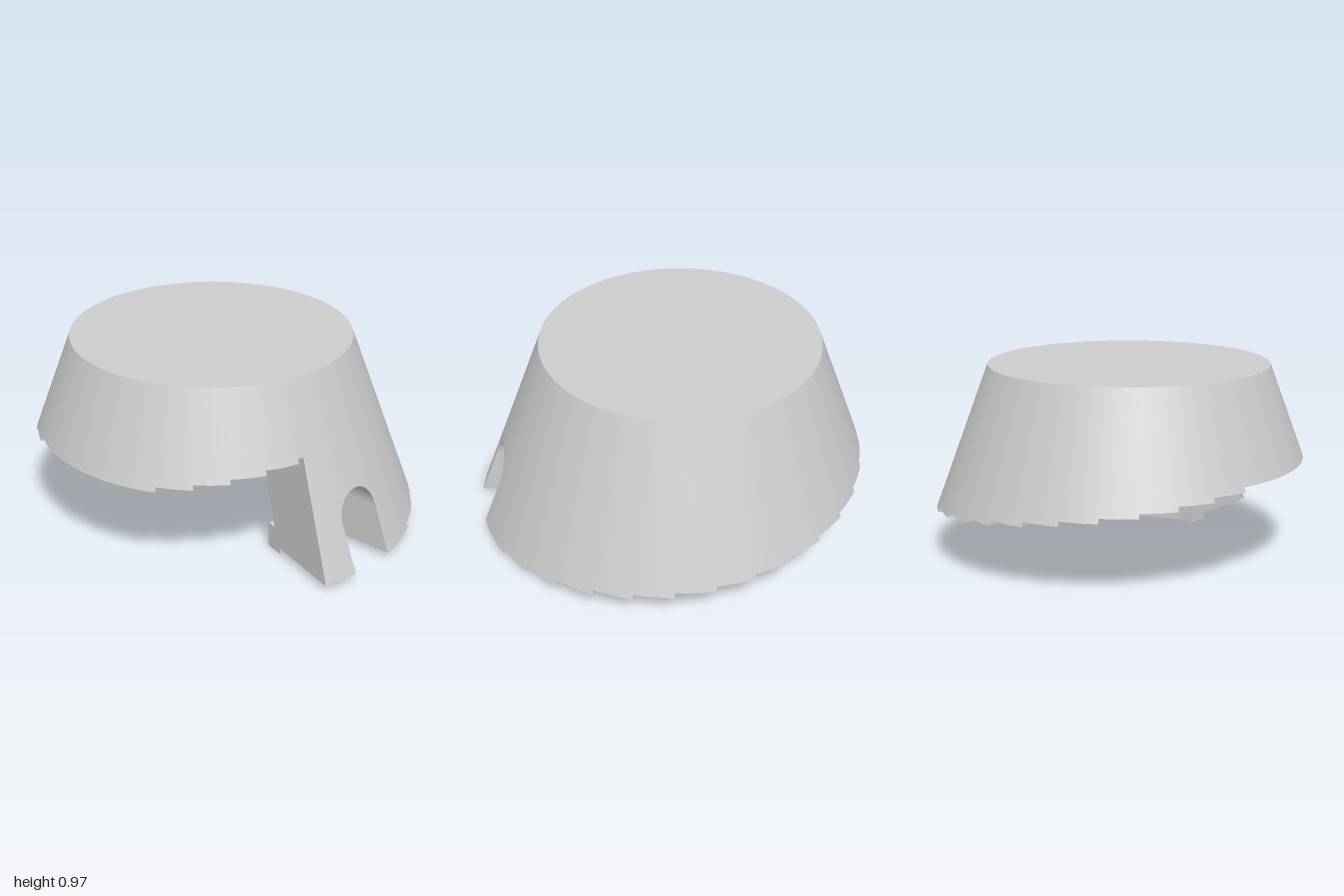
import * as THREE from 'three';
import { mergeGeometries } from 'three/addons/utils/BufferGeometryUtils.js';

const rad = THREE.MathUtils.degToRad;
const mix = THREE.MathUtils.lerp;

// Conical wall: outer and inner radius at height y
const TOP = 0.97, CEILING = 0.9, SLOPE = 0.37;
const outerR = y => 0.7125 + SLOPE * (TOP - y);
const innerR = y => 0.66 - SLOPE * y;

// Stepped underside: level heights and the angles where they change
const START = rad(-17.1), END = rad(342.9);
const levelY = k => 0.031 + 0.0235 * k;
const bounds = [START];
for (let k = 0; k < 20; k++) bounds.push(rad(22.6 + 11.4 * k));
for (let k = 0; k < 5; k++) bounds.push(rad(295.4 + 11.4 * k));
bounds.push(END);

// Doorway
const DOOR = 0.13, SPRING = 0.27, LINTEL = 0.42;

// Angle 0 is the front, growing towards +x
const polar = (r, y, a) => new THREE.Vector3(r * Math.sin(a), y, r * Math.cos(a));

// Grid of points f(u, v); a sign makes smooth cone normals (1 outward, -1 inward)
function patch(nu, nv, f, sign = 0, flip = false) {
  const pos = [], nor = [], idx = [];
  for (let j = 0; j <= nv; j++) for (let i = 0; i <= nu; i++) {
    const p = f(flip ? 1 - i / nu : i / nu, j / nv);
    pos.push(p.x, p.y, p.z);
    const n = new THREE.Vector3(p.x, 0, p.z).normalize().setY(SLOPE).normalize().multiplyScalar(sign);
    nor.push(n.x, n.y, n.z);
  }
  for (let j = 0; j < nv; j++) for (let i = 0; i < nu; i++) {
    const a = j * (nu + 1) + i, d = a + nu + 1;
    idx.push(a, a + 1, d + 1, a, d + 1, d);
  }
  const g = new THREE.BufferGeometry();
  g.setAttribute('position', new THREE.Float32BufferAttribute(pos, 3));
  g.setAttribute('normal', new THREE.Float32BufferAttribute(nor, 3));
  g.setIndex(idx);
  if (!sign) g.computeVertexNormals();
  return g;
}

export function createModel() {
  const group = new THREE.Group();
  const stone = new THREE.MeshStandardMaterial({ color: 0xcccccc, side: THREE.DoubleSide });
  stone.name = 'pale grey stone';
  const outer = [], inner = [], under = [], risers = [], door = [];
  const add = (name, geometry) => {
    const m = new THREE.Mesh(geometry, stone);
    m.name = name;
    group.add(m);
    return m;
  };

  // Wall sheets and flat undersides, one sector per step
  for (let k = 0; k < bounds.length - 1; k++) {
    const a0 = bounds[k], a1 = bounds[k + 1], y0 = levelY(k);
    const n = Math.max(1, Math.ceil((a1 - a0) / rad(3)));
    const base = k === 0 ? LINTEL : y0;
    const sheet = (R, top) => (u, v) => {
      const y = mix(base, top, v);
      return polar(R(y), y, mix(a0, a1, u));
    };
    outer.push(patch(n, 1, sheet(outerR, TOP), 1));
    inner.push(patch(n, 1, sheet(innerR, CEILING), -1, true));
    if (k === 0) continue;
    under.push(patch(n, 1, (u, v) => polar(mix(innerR(y0), outerR(y0), v), y0, mix(a0, a1, u))));
    // Riser from the step below
    risers.push(patch(1, 1, (u, v) => {
      const y = mix(levelY(k - 1), y0, u);
      return polar(mix(innerR(y), outerR(y), v), y, a0);
    }));
  }

  // Door piers: the angle blends from the sector edge to the straight jamb
  const foot = levelY(0);
  for (const side of [-1, 1]) {
    const edge = side < 0 ? START : bounds[1];
    const angle = (r, u) => {
      const jamb = Math.asin(side * DOOR / r);
      return side < 0 ? mix(edge, jamb, u) : mix(jamb, edge, u);
    };
    const sheet = R => (u, v) => {
      const y = mix(foot, LINTEL, v);
      return polar(R(y), y, angle(R(y), u));
    };
    outer.push(patch(5, 10, sheet(outerR), 1));
    inner.push(patch(5, 10, sheet(innerR), -1, true));
    under.push(patch(5, 4, (u, v) => {
      const r = mix(innerR(foot), outerR(foot), v);
      return polar(r, foot, angle(r, u));
    }));
    // Jamb
    door.push(patch(4, 1, (u, v) => {
      const y = mix(foot, SPRING, u), r = mix(innerR(y), outerR(y), v);
      return polar(r, y, Math.asin(side * DOOR / r));
    }, 0, side > 0));
  }

  // Wall above the arch, and the arch soffit
  const archX = u => -DOOR * Math.cos(Math.PI * u);
  const archY = u => SPRING + DOOR * Math.sin(Math.PI * u);
  const over = R => (u, v) => {
    const y = mix(archY(u), LINTEL, v);
    return polar(R(y), y, Math.asin(archX(u) / R(y)));
  };
  outer.push(patch(20, 4, over(outerR), 1));
  inner.push(patch(20, 4, over(innerR), -1, true));
  door.push(patch(20, 1, (u, v) => {
    const y = archY(u), r = mix(innerR(y), outerR(y), v);
    return polar(r, y, Math.asin(archX(u) / r));
  }));

  add('outerWall', mergeGeometries(outer));
  add('innerWall', mergeGeometries(inner));
  add('stepUndersides', mergeGeometries(under));
  add('stepRisers', mergeGeometries(risers));
  add('doorway', mergeGeometries(door));

  // Radial end wall where the spiral starts and finishes
  add('endWall', patch(1, 1, (u, v) => {
    const y = mix(foot, levelY(bounds.length - 2), v);
    return polar(mix(innerR(y), outerR(y), u), y, START);
  }));

  // Flat roof and the ceiling of the hollow
  const roof = add('roof', new THREE.CircleGeometry(outerR(TOP), 120));
  roof.rotation.x = -Math.PI / 2;
  roof.position.y = TOP;
  const ceiling = add('ceiling', new THREE.CircleGeometry(innerR(CEILING), 120));
  ceiling.rotation.x = Math.PI / 2;
  ceiling.position.y = CEILING;

  // Curved sill block behind the doorway
  const half = rad(17.1), arc = new THREE.Shape();
  arc.absarc(0, 0, 0.66, -Math.PI / 2 - half, -Math.PI / 2 + half, false);
  arc.absarc(0, 0, 0.555, -Math.PI / 2 + half, -Math.PI / 2 - half, true);
  const sill = add('doorSill', new THREE.ExtrudeGeometry(arc, { depth: 0.13, bevelEnabled: false, curveSegments: 12 }));
  sill.rotation.x = -Math.PI / 2;

  group.position.set(-0.06, 0, -0.06);
  const model = new THREE.Group();
  group.name = 'spiralTower';
  model.add(group);
  return model;
}
